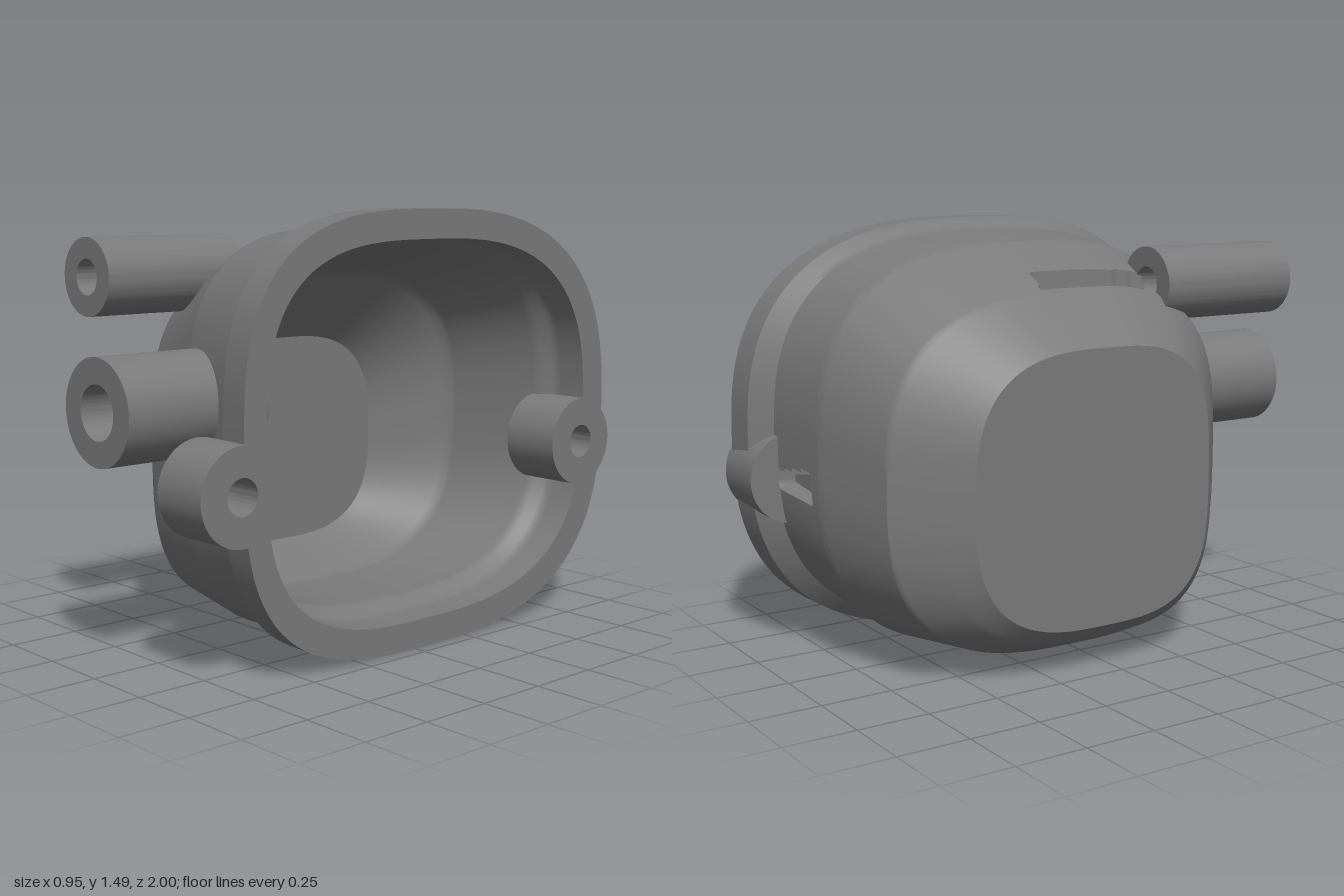
import * as THREE from 'three';
import { toCreasedNormals } from 'three/addons/utils/BufferGeometryUtils.js';

const SEG = 320, CZ = -0.07;
const post = { x: -0.215, y: 1.27, r: 0.13, hole: 0.06, z0: 0.3, z1: 0.855 };
const port = { x: 0.047, y: 0.865, r: 0.175, hole: 0.09, z0: 0.45, z1: 1.0 };
const ears = [{ y: 0.63, z: 0.765 }, { y: 0.63, z: -0.84 }];

// Stations along the shell: x, bottom, top, back z, front z, squareness, steps to the next one
const stations = [
  [-0.478, 0.63, 0.63, CZ, CZ, 3.0, 1],
  [-0.478, 0.16, 1.10, -0.56, 0.38, 3.0, 4],
  [-0.42, 0.105, 1.155, -0.63, 0.44, 3.0, 12],
  [-0.30, 0.05, 1.27, -0.78, 0.545, 2.9, 30],
  [0.00, 0.02, 1.42, -0.87, 0.615, 2.95, 28],
  [0.28, 0.05, 1.45, -0.90, 0.67, 2.85, 4],
  [0.34, 0.00, 1.49, -0.97, 0.735, 2.78, 6],
  [0.457, 0.00, 1.49, -0.98, 0.745, 2.78, 5],
  [0.457, 0.10, 1.39, -0.87, 0.655, 2.9, 6],
  [0.34, 0.105, 1.385, -0.86, 0.645, 2.9, 4],
  [0.28, 0.14, 1.365, -0.82, 0.60, 2.9, 20],
  [-0.07, 0.145, 1.26, -0.72, 0.53, 2.9, 10],
  [-0.30, 0.25, 1.01, -0.49, 0.33, 3.0, 1],
  [-0.30, 0.63, 0.63, CZ, CZ, 3.0, 0],
];

// One point of a rounded-square cross-section, a little squarer towards the front
function sectionPoint([x, y0, y1, z0, z1, square], j) {
  const a = (j / SEG) * Math.PI * 2, c = Math.cos(a), s = Math.sin(a);
  const n = square + (c > 0 ? 0.28 : -0.13);
  const k = 1 / Math.pow(Math.abs(c) ** n + Math.abs(s) ** n, 1 / n);
  const y = (y0 + y1) / 2 + s * k * (y1 - y0) / 2;
  const z = CZ + c * k * (c > 0 ? z1 - CZ : CZ - z0);
  return new THREE.Vector3(x, y, z);
}

// Drilled grooves: push outer points down to the floor of the bore
function drill(p) {
  const r = 0.061;
  const dx = p.x - post.x, dy = p.y - post.y;
  if (p.z > -0.17 && dx * dx + dy * dy < r * r) p.y = post.y - Math.sqrt(r * r - dx * dx);
  const e = ears[1], ey = p.y - e.y, ez = p.z - e.z;
  if (p.x > 0.06 && p.x < 0.28 && ey * ey + ez * ez < r * r) {
    p.z = Math.min(e.z + Math.sqrt(r * r - ey * ey), -0.83);
  }
}

// Openings through the wall, whose edges lie inside the tube walls
function isOpen(m) {
  if (m.z > 0.3 && Math.hypot(m.x - port.x, m.y - port.y) < 0.13) return true;
  return m.x > 0.28 && ears.some(e => Math.hypot(m.y - e.y, m.z - e.z) < 0.105);
}

function shellGeometry() {
  const rings = [];
  stations.forEach((st, i) => {
    const next = stations[i + 1];
    for (let k = 0; k < Math.max(1, st[6]); k++) {
      const t = next ? k / st[6] : 0;
      const mix = st.map((v, q) => (next ? v + (next[q] - v) * t : v));
      const ring = [];
      for (let j = 0; j < SEG; j++) {
        const p = sectionPoint(mix, j);
        if (i < 7) drill(p);
        ring.push(p);
      }
      rings.push(ring);
    }
  });
  const pos = [], mid = new THREE.Vector3();
  for (let i = 0; i < rings.length - 1; i++) {
    for (let j = 0; j < SEG; j++) {
      const k = (j + 1) % SEG;
      const a = rings[i][j], b = rings[i + 1][j], c = rings[i + 1][k], d = rings[i][k];
      mid.copy(a).add(b).add(c).add(d).multiplyScalar(0.25);
      if (isOpen(mid)) continue;
      for (const p of [a, b, d, b, c, d]) pos.push(p.x, p.y, p.z);
    }
  }
  const g = new THREE.BufferGeometry();
  g.setAttribute('position', new THREE.Float32BufferAttribute(pos, 3));
  return toCreasedNormals(g, 0.6);
}

// Hollow tube along +z, starting at z = 0
function tubeGeometry(r, hole, length) {
  const shape = new THREE.Shape().absarc(0, 0, r, 0, Math.PI * 2, false);
  shape.holes.push(new THREE.Path().absarc(0, 0, hole, 0, Math.PI * 2, true));
  const g = new THREE.ExtrudeGeometry(shape, { depth: length, bevelEnabled: false, curveSegments: 48 });
  return toCreasedNormals(g, 0.6);
}

export function createModel() {
  const group = new THREE.Group();
  const grey = new THREE.MeshStandardMaterial({ color: 0x7a7a7a });
  grey.name = 'grey';
  const add = (name, geometry) => {
    const mesh = new THREE.Mesh(geometry, grey);
    mesh.name = name;
    group.add(mesh);
    return mesh;
  };

  // Hollow housing, open towards +x
  add('housing', shellGeometry());

  // Two tubes facing the front
  for (const [name, t] of [['upperPost', post], ['sidePort', port]]) {
    add(name, tubeGeometry(t.r, t.hole, t.z1 - t.z0)).position.set(t.x, t.y, t.z0);
  }

  // Mounting ears on the rim
  ears.forEach((e, i) => {
    const ear = add(i ? 'backEar' : 'frontEar', tubeGeometry(0.16, 0.06, 0.217));
    ear.rotation.y = Math.PI / 2;
    ear.position.set(0.257, e.y, e.z);
  });
  return group;
}
